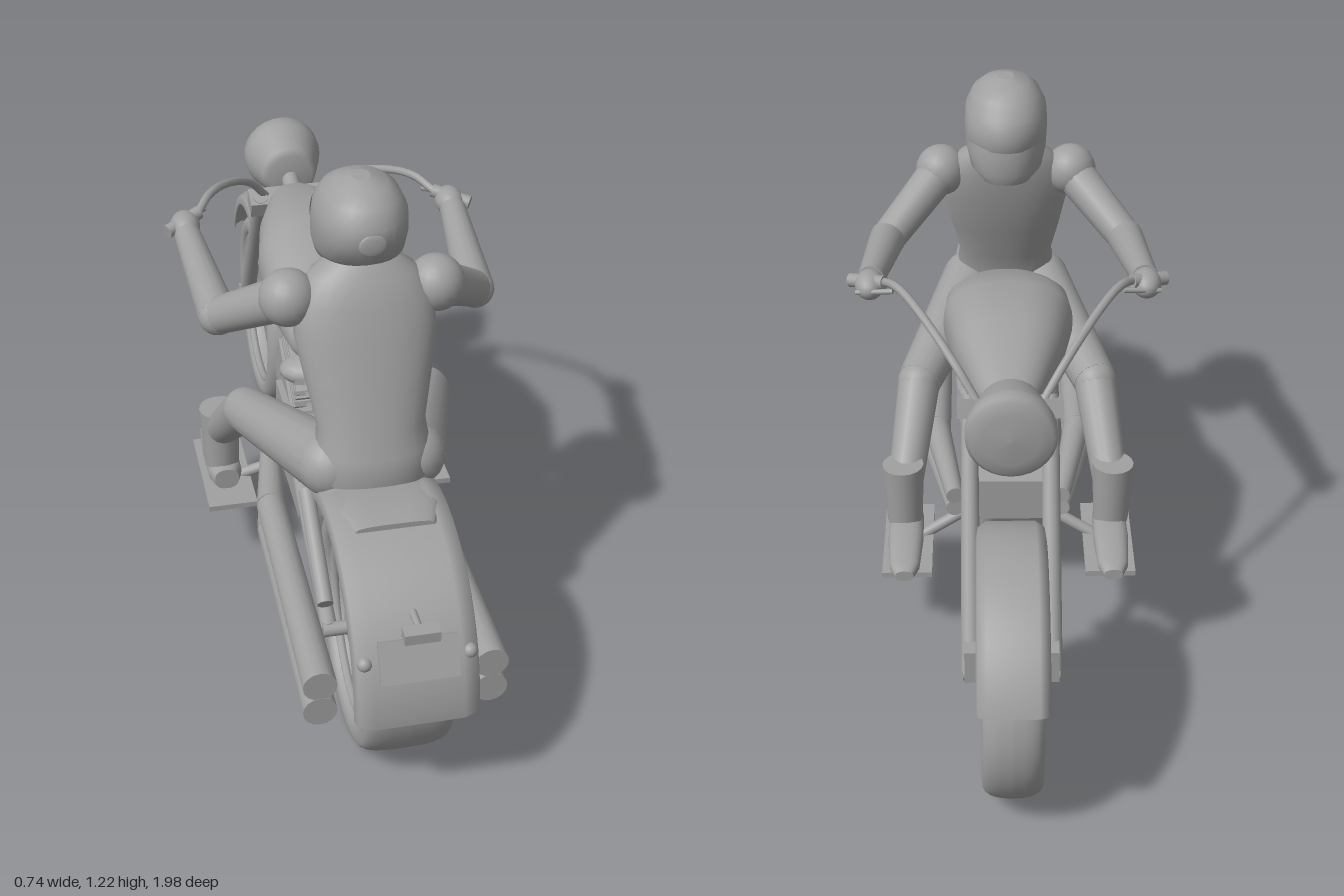
import * as THREE from 'three';

const V = (x, y, z) => new THREE.Vector3(x, y, z);

export function createModel() {
  const model = new THREE.Group();
  const grey = new THREE.MeshStandardMaterial({ color: 0xa0a0a0, side: THREE.DoubleSide });

  const add = (name, geo, pos = [0, 0, 0], rotX = 0) => {
    const m = new THREE.Mesh(geo, grey);
    m.name = name;
    m.position.set(...pos);
    m.rotation.x = rotX;
    model.add(m);
    return m;
  };
  const box = (name, size, pos, rotX = 0) => add(name, new THREE.BoxGeometry(...size), pos, rotX);
  const ball = (name, r, pos) => add(name, new THREE.SphereGeometry(r, 20, 14), pos);

  // Tapered bar from point a to point b
  const bar = (name, a, b, ra, rb = ra, sides = 16) => {
    const p = V(...a), q = V(...b), d = q.clone().sub(p);
    const m = add(name, new THREE.CylinderGeometry(rb, ra, d.length(), sides));
    m.position.copy(p).add(q).multiplyScalar(0.5);
    m.quaternion.setFromUnitVectors(V(0, 1, 0), d.normalize());
    return m;
  };

  // Superellipse cross-sections [t, offset, rx, r2] along y (offset in z) or along z (offset in y)
  const loft = (name, axis, sections, power = 2, x = 0, n = 28) => {
    const pos = [], idx = [];
    const pw = (v) => Math.sign(v) * Math.abs(v) ** (2 / power);
    const ring = ([t, off, rx, r2]) => {
      for (let j = 0; j < n; j++) {
        const a = (j / n) * Math.PI * 2, c = pw(Math.cos(a)), s = pw(Math.sin(a));
        if (axis === 'y') pos.push(x + rx * s, t, off + r2 * c);
        else pos.push(x + rx * c, off + r2 * s, t);
      }
    };
    sections.forEach(ring);
    for (let i = 0; i < sections.length - 1; i++) {
      for (let j = 0; j < n; j++) {
        const k = (j + 1) % n, a = i * n + j, b = i * n + k;
        idx.push(a, b, b + n, a, b + n, a + n);
      }
    }
    [sections[0], sections[sections.length - 1]].forEach((s, end) => {
      const base = pos.length / 3;
      ring(s);
      pos.push(...(axis === 'y' ? [x, s[0], s[1]] : [x, s[1], s[0]]));
      for (let j = 0; j < n; j++) {
        const a = base + j, b = base + ((j + 1) % n);
        idx.push(base + n, end ? a : b, end ? b : a);
      }
    });
    const g = new THREE.BufferGeometry();
    g.setAttribute('position', new THREE.Float32BufferAttribute(pos, 3));
    g.setIndex(idx);
    g.computeVertexNormals();
    return add(name, g);
  };

  // Wheels: rounded tyre, faceted rim discs, hub and axle
  const wheel = (name, z, R, w, power, axle) => {
    const y = R + 0.008, pts = [];
    for (let i = 0; i <= 24; i++) {
      const a = (i / 24) * Math.PI * 2, c = Math.cos(a), s = Math.sin(a);
      pts.push(new THREE.Vector2(
        R - 0.036 + 0.036 * Math.sign(c) * Math.abs(c) ** (2 / power),
        w * Math.sign(s) * Math.abs(s) ** (2 / power)));
    }
    add(name + 'Tyre', new THREE.LatheGeometry(pts, 48).rotateZ(-Math.PI / 2), [0, y, z]);
    for (const s of [1, -1]) {
      let disc = new THREE.ConeGeometry(R - 0.055, w * 0.35, 14, 1, true);
      disc = disc.rotateZ(-s * Math.PI / 2).toNonIndexed();
      disc.computeVertexNormals();
      add(name + 'RimDisc', disc, [s * w * 0.4, y, z]);
      add(name + 'RimEdge', new THREE.TorusGeometry(R - 0.062, 0.011, 8, 40).rotateY(Math.PI / 2), [s * w * 0.72, y, z]);
    }
    bar(name + 'Hub', [-w * 0.85, y, z], [w * 0.85, y, z], 0.038);
    bar(name + 'Axle', [-axle, y, z], [axle, y, z], 0.016);
  };
  wheel('rear', 0.67, 0.272, 0.098, 3.2, 0.14);
  wheel('front', -0.69, 0.266, 0.066, 2.5, 0.105);

  // Mudguards: curved strips with turned-down sides, from angle a to b above the rear horizontal
  const fender = (name, z, R, w, a, b) => {
    const t = 0.014;
    const half = [[R - 0.035, w], [R - 0.012, w * 0.95], [R, w * 0.7]];
    const inner = [[R - t, w * 0.68], [R - t - 0.01, w * 0.9], [R - 0.035, w * 0.94]];
    const flip = (l) => l.map(([r, x]) => [r, -x]).reverse();
    const loop = [...half, ...flip(half), ...flip(inner), ...inner, half[0]];
    const g = new THREE.LatheGeometry(loop.map((p) => new THREE.Vector2(...p)), 28,
      -THREE.MathUtils.degToRad(b), THREE.MathUtils.degToRad(b - a));
    add(name, g.rotateZ(-Math.PI / 2), [0, 0.28, z]);
  };
  fender('rearFender', 0.67, 0.326, 0.133, 1, 122);
  fender('frontFender', -0.69, 0.322, 0.076, 38, 158);

  // Rear plate, tail light and signals
  box('numberPlate', [0.166, 0.09, 0.008], [0, 0.433, 0.963], -0.47);
  box('tailLight', [0.074, 0.024, 0.032], [0, 0.508, 0.972]);
  bar('tailLightBracket', [0, 0.505, 0.9], [0, 0.508, 0.96], 0.008);

  // Tank and seat
  loft('fuelTank', 'z', [
    [-0.42, 0.763, 0.045, 0.038], [-0.35, 0.768, 0.075, 0.062], [-0.2, 0.782, 0.122, 0.093],
    [-0.05, 0.785, 0.15, 0.106], [0.09, 0.757, 0.145, 0.083], [0.2, 0.73, 0.122, 0.06],
    [0.28, 0.717, 0.085, 0.037],
  ], 2.5, 0, 36);
  loft('seat', 'z', [
    [0.38, 0.515, 0.07, 0.02], [0.46, 0.53, 0.115, 0.035], [0.58, 0.565, 0.125, 0.035],
    [0.68, 0.588, 0.11, 0.027], [0.745, 0.598, 0.085, 0.012],
  ], 3);
  bar('seatFrame', [0, 0.5, 0.42], [0, 0.7, 0.15], 0.025);

  // Engine: crankcase and two finned cylinders in a V
  box('crankcase', [0.22, 0.2, 0.3], [0, 0.345, 0.08]);
  for (const s of [1, -1]) {
    const tilt = s * 0.58, c = [0, 0.43, 0.078 - s * 0.138];
    const place = (d) => [0, c[1] + d * Math.cos(tilt), c[2] + d * Math.sin(tilt)];
    box('cylinderBlock', [0.19, 0.135, 0.2], c, tilt);
    box('cylinderCore', [0.11, 0.12, 0.12], place(0.09), tilt);
    for (let i = 0; i < 4; i++) box('coolingFin', [0.18, 0.009, 0.185], place(0.085 + i * 0.025), tilt);
  }
  const cleaner = ball('airCleaner', 0.06, [0, 0.545, 0.04]);
  cleaner.scale.set(2, 0.7, 1.1);

  // Headlight: lathe shell facing -z
  const lamp = [[0, 0], [0.055, 0], [0.068, 0.015], [0.094, 0.1], [0.097, 0.112], [0.097, 0.138], [0.088, 0.146], [0.06, 0.154], [0, 0.158]];
  add('headlight', new THREE.LatheGeometry(lamp.map((p) => new THREE.Vector2(...p)), 28), [0, 0.808, -0.445], -Math.PI / 2);
  bar('headlightMount', [0, 0.78, -0.39], [0, 0.8, -0.46], 0.022);
  box('forkClamp', [0.23, 0.04, 0.06], [0, 0.768, -0.395], 0.3);

  for (const s of [1, -1]) {
    const P = (x, y, z) => [s * x, y, z];
    // Fork, handlebar, grip and lever
    bar('forkLeg', P(0.088, 0.79, -0.38), P(0.088, 0.28, -0.69), 0.018, 0.022);
    box('forkFoot', [0.024, 0.08, 0.045], P(0.09, 0.305, -0.69));
    const path = new THREE.CatmullRomCurve3([
      V(s * 0.07, 0.78, -0.4), V(s * 0.12, 0.85, -0.35), V(s * 0.2, 0.915, -0.23),
      V(s * 0.25, 0.932, -0.15), V(s * 0.29, 0.915, -0.09), V(s * 0.355, 0.9, -0.055)]);
    add('handlebar', new THREE.TubeGeometry(path, 32, 0.01, 8));
    bar('grip', P(0.28, 0.917, -0.1), P(0.36, 0.9, -0.053), 0.016);
    bar('lever', P(0.26, 0.91, -0.13), P(0.345, 0.895, -0.105), 0.006);

    // Twin exhausts, swing arm, shock and signal
    for (const [y, yEnd] of [[0.305, 0.3], [0.236, 0.265]]) {
      bar('muffler', P(0.185, y, 0.87), P(0.18, y + 0.005, 0.25), 0.037, 0.034);
      bar('exhaustPipe', P(0.18, y + 0.005, 0.25), P(0.13, yEnd, -0.05), 0.034, 0.022);
    }
    bar('swingArm', P(0.125, 0.28, 0.67), P(0.1, 0.34, 0.2), 0.018);
    bar('rearShock', P(0.13, 0.335, 0.65), P(0.125, 0.465, 0.41), 0.018);
    bar('subframe', P(0.1, 0.52, 0.5), P(0.09, 0.42, 0.2), 0.014);
    ball('turnSignal', 0.016, P(0.11, 0.427, 0.95));

    // Floorboard
    box('floorboard', [0.12, 0.014, 0.29], P(0.245, 0.183, -0.07));
    bar('floorboardBracket', P(0.1, 0.24, -0.02), P(0.21, 0.187, -0.05), 0.014);

    // Rider arm
    const shoulder = P(0.16, 0.97, 0.4), elbow = P(0.29, 0.853, 0.255), wrist = P(0.315, 0.895, -0.04);
    ball('shoulder', 0.063, shoulder);
    bar('upperArm', shoulder, elbow, 0.05, 0.042);
    ball('elbow', 0.044, elbow);
    bar('forearm', elbow, wrist, 0.044, 0.031);
    const hand = ball('hand', 0.038, P(0.315, 0.9, -0.075));
    hand.scale.set(0.9, 0.85, 1.25);

    // Rider leg, boot and foot
    const hip = P(0.09, 0.61, 0.51), knee = P(0.218, 0.515, 0.14), ankle = P(0.25, 0.34, -0.045);
    ball('hip', 0.074, hip);
    bar('thigh', hip, knee, 0.074, 0.054);
    ball('knee', 0.053, knee);
    bar('shin', knee, ankle, 0.052, 0.043);
    bar('bootShaft', P(0.253, 0.235, -0.05), P(0.255, 0.395, -0.052), 0.043, 0.05);
    loft('foot', 'z', [
      [-0.25, 0.205, 0.022, 0.014], [-0.22, 0.211, 0.036, 0.02], [-0.12, 0.22, 0.043, 0.03],
      [-0.02, 0.22, 0.041, 0.03], [0.01, 0.22, 0.03, 0.028],
    ], 2.5, s * 0.25, 20);
  }

  // Rider body
  loft('torso', 'y', [
    [0.565, 0.53, 0.1, 0.06], [0.6, 0.53, 0.125, 0.083], [0.66, 0.515, 0.125, 0.08],
    [0.71, 0.498, 0.118, 0.077], [0.8, 0.465, 0.137, 0.082], [0.9, 0.43, 0.155, 0.08],
    [0.97, 0.412, 0.148, 0.075], [1.02, 0.395, 0.115, 0.065], [1.05, 0.385, 0.07, 0.05],
  ], 2.2);
  bar('neck', [0, 0.99, 0.39], [0, 1.08, 0.36], 0.055);

  // Helmet with visor and rear vent
  loft('helmet', 'y', [
    [1.003, 0.28, 0.055, 0.05], [1.03, 0.312, 0.085, 0.092], [1.07, 0.345, 0.097, 0.125],
    [1.12, 0.36, 0.1, 0.136], [1.16, 0.367, 0.097, 0.128], [1.195, 0.37, 0.08, 0.102],
    [1.216, 0.372, 0.055, 0.068], [1.228, 0.372, 0.02, 0.025],
  ], 2.2);
  const visor = add('visor', new THREE.SphereGeometry(1, 24, 8, Math.PI * 1.5 - 1.1, 2.2, 1.2, 0.6), [0, 1.115, 0.358]);
  visor.scale.set(0.104, 0.11, 0.142);
  const vent = ball('helmetVent', 0.03, [0, 1.127, 0.493]);
  vent.scale.set(1, 0.85, 0.2);

  return model;
}
